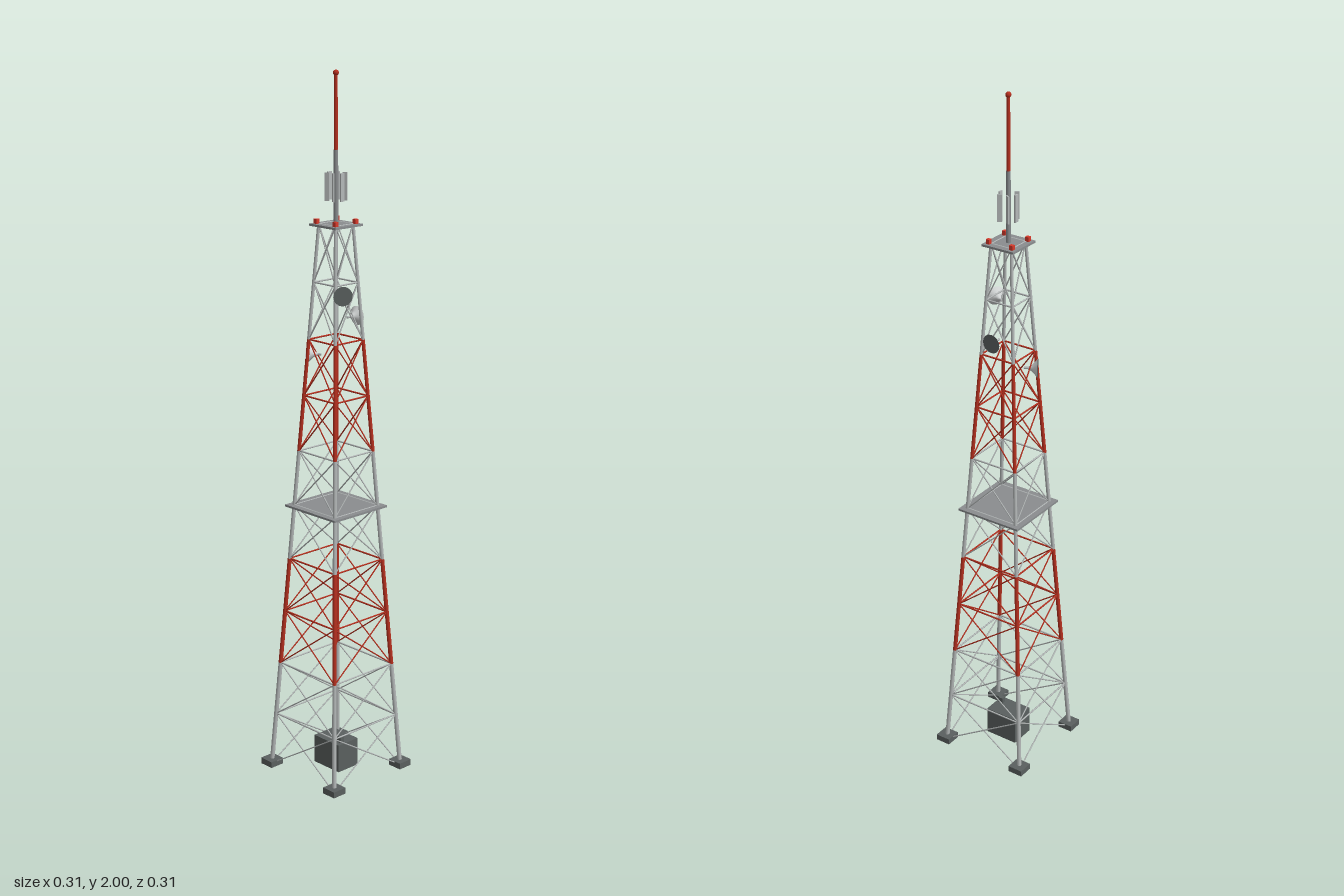
import * as THREE from 'three';

const mat = (name, color, side = THREE.FrontSide) => {
  const m = new THREE.MeshStandardMaterial({ color, side });
  m.name = name;
  return m;
};

export function createModel() {
  const tower = new THREE.Group();
  tower.name = 'latticeTower';

  const steel = mat('galvanised steel', 0xb4b8b8);
  const red = mat('warning red', 0xb8301f);
  const deck = mat('deck grey', 0x8a8d8f);
  const dark = mat('dark grey', 0x5a605f);
  const lamp = mat('lamp red', 0xd83a2b);
  const dishMat = mat('dish white', 0xcfd2d2, THREE.DoubleSide);

  const add = (name, geo, material, x = 0, y = 0, z = 0, parent = tower) => {
    const m = new THREE.Mesh(geo, material);
    m.name = name;
    m.position.set(x, y, z);
    parent.add(m);
    return m;
  };
  const box = (name, w, h, d, material, x, y, z, parent) =>
    add(name, new THREE.BoxGeometry(w, h, d), material, x, y, z, parent);

  // Round bar between two points
  const V = (x, y, z) => new THREE.Vector3(x, y, z);
  const up = V(0, 1, 0);
  const bar = (name, a, b, r0, r1, material, parent = tower, sides = 6) => {
    const dir = b.clone().sub(a);
    const m = add(name, new THREE.CylinderGeometry(r1, r0, dir.length(), sides), material, 0, 0, 0, parent);
    m.position.copy(a).add(b).multiplyScalar(0.5);
    m.quaternion.setFromUnitVectors(up, dir.normalize());
  };

  // Tapered lattice: ten sections, four legs, crossed braces on each face
  const SECTIONS = 10, BASE = 0.001, STEP = 0.159;
  const CORNERS = [[1, 1], [1, -1], [-1, -1], [-1, 1]];
  const half = (i) => 0.1325 - 0.01 * i;
  const corner = (c, i) => {
    const [sx, sz] = CORNERS[c % 4];
    return V(sx * half(i), BASE + STEP * i, sz * half(i));
  };
  const legRadius = (i) => 0.0065 - 0.0002 * i;
  for (let i = 0; i < SECTIONS; i++) {
    const material = [2, 3, 6, 7].includes(i) ? red : steel;
    const section = new THREE.Group();
    section.name = `section${i + 1}`;
    tower.add(section);
    for (let c = 0; c < 4; c++) {
      bar('leg', corner(c, i), corner(c, i + 1), legRadius(i), legRadius(i + 1), material, section, 8);
      bar('crossBrace', corner(c, i), corner(c + 1, i + 1), 0.0019, 0.0019, material, section);
      bar('crossBrace', corner(c + 1, i), corner(c, i + 1), 0.0019, 0.0019, material, section);
      bar('girt', corner(c, i + 1), corner(c + 1, i + 1), 0.0024, 0.0024, material, section);
    }
  }

  // Footings
  for (const [sx, sz] of CORNERS) box('footing', 0.045, 0.018, 0.045, dark, sx * 0.132, 0.009, sz * 0.132);

  // Equipment cabinet with a small vent on the roof
  box('cabinet', 0.102, 0.084, 0.076, dark, 0, 0.046, 0);
  box('cabinetVent', 0.014, 0.018, 0.014, dark, 0.035, 0.097, 0.015);

  // Platforms, with lamps on the corners of the upper one
  box('middlePlatform', 0.202, 0.006, 0.202, deck, 0, BASE + STEP * 5 - 0.002, 0);
  box('topPlatform', 0.102, 0.006, 0.102, deck, 0, BASE + STEP * 10 - 0.002, 0);
  for (const [sx, sz] of CORNERS) box('warningLamp', 0.011, 0.013, 0.011, lamp, sx * 0.037, 1.5985, sz * 0.037);

  // Mast
  bar('lowerMast', V(0, 1.565, 0), V(0, 1.79, 0), 0.007, 0.006, deck, tower, 8);
  bar('upperMast', V(0, 1.79, 0), V(0, 1.99, 0), 0.0055, 0.0045, red, tower, 8);
  add('mastLamp', new THREE.SphereGeometry(0.008, 8, 6), red, 0, 1.992, 0);

  // Ring of six panel antennas
  for (let k = 0; k < 6; k++) {
    const a = k * Math.PI / 3;
    box('panelAntenna', 0.004, 0.076, 0.013, steel, 0.025 * Math.cos(a), 1.692, 0.025 * Math.sin(a)).rotation.y = a;
  }

  // Three dishes spaced evenly around the tower, facing outward with dark covers
  const bowl = [[0.003, 0], [0.008, 0.01], [0.015, 0.018], [0.027, 0.028]]
    .map(([r, h]) => new THREE.Vector2(r, h));
  [[30, 1.408], [270, 1.328], [150, 1.228]].forEach(([deg, y]) => {
    const dish = new THREE.Group();
    dish.name = 'dish';
    dish.position.y = y;
    dish.rotation.y = -deg * Math.PI / 180;
    add('bowl', new THREE.LatheGeometry(bowl, 16), dishMat, 0.052, 0, 0, dish).rotation.z = -Math.PI / 2;
    add('cover', new THREE.CircleGeometry(0.0268, 16), dark, 0.0799, 0, 0, dish).rotation.y = Math.PI / 2;
    bar('arm', V(0.042, 0, 0), V(0.055, 0, 0), 0.003, 0.003, steel, dish);
    tower.add(dish);
  });

  return tower;
}
